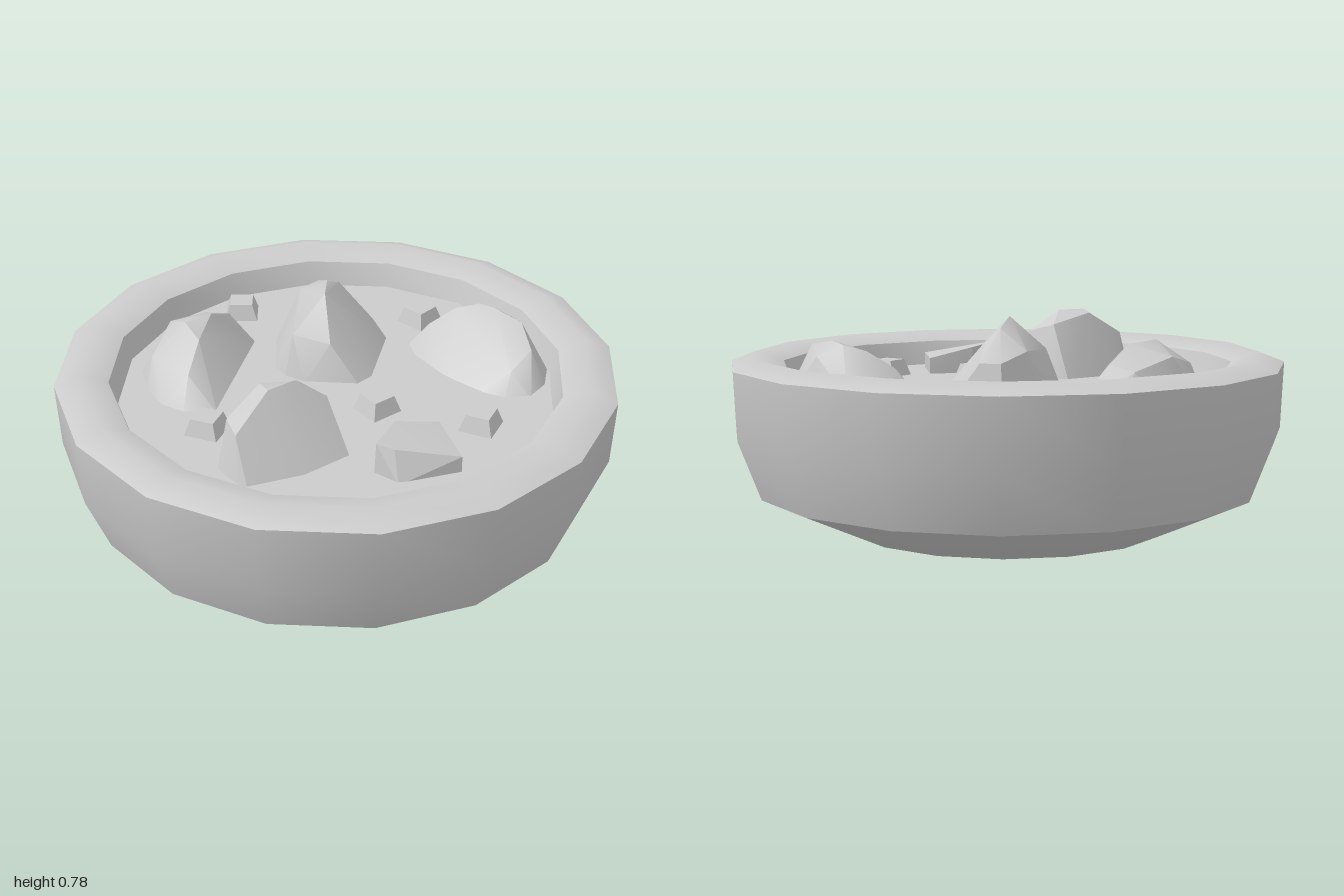
import * as THREE from 'three';
import { toCreasedNormals } from 'three/addons/utils/BufferGeometryUtils.js';
import { ConvexGeometry } from 'three/addons/geometries/ConvexGeometry.js';

const SIDES = 16;
const SOUP_Y = 0.51;
const material = new THREE.MeshStandardMaterial({ color: 0xcccccc });

function addMesh(group, name, geometry) {
  const mesh = new THREE.Mesh(geometry, material);
  mesh.name = name;
  group.add(mesh);
  return mesh;
}

// Chunk of food: [x, z] outline at the soup surface, [x, y, z] points on its top
function chunk(outline, top, crease = 0.5) {
  const points = [
    ...outline.map(([x, z]) => new THREE.Vector3(x, SOUP_Y - 0.01, z)),
    ...top.map((p) => new THREE.Vector3(...p)),
  ];
  return toCreasedNormals(new ConvexGeometry(points), crease);
}

export function createModel() {
  const group = new THREE.Group();
  group.name = 'bowlOfStew';

  // Bowl: outside from the base up, over the rim and down the inner wall
  const profile = [
    [0, 0], [0.58, 0], [0.91, 0.15], [0.99, 0.36], [1, 0.6],
    [0.91, 0.635], [0.81, 0.6], [0.78, SOUP_Y - 0.01],
  ].map(([r, y]) => new THREE.Vector2(r, y));
  addMesh(group, 'bowl', toCreasedNormals(new THREE.LatheGeometry(profile, SIDES), 0.74));

  // Soup surface
  const soup = addMesh(group, 'soup', new THREE.CircleGeometry(0.783, SIDES));
  soup.rotation.x = -Math.PI / 2;
  soup.position.y = SOUP_Y;

  // Rounded half slice at the back
  addMesh(group, 'backChunk', chunk(
    [[-0.47, -0.42], [-0.43, -0.53], [-0.34, -0.64], [-0.17, -0.69], [-0.05, -0.68],
      [0.05, -0.6], [0.09, -0.5], [0.08, -0.44], [-0.38, -0.24], [-0.46, -0.33]],
    [[-0.38, 0.61, -0.37], [-0.26, 0.68, -0.42], [-0.1, 0.69, -0.5], [0.02, 0.63, -0.52],
      [-0.22, 0.7, -0.52], [-0.36, 0.61, -0.56], [-0.18, 0.65, -0.63], [0, 0.61, -0.62]],
    0.6));

  // Thick slab right of the middle, leaning back
  addMesh(group, 'middleChunk', chunk(
    [[-0.05, -0.2], [-0.02, -0.27], [0.13, -0.39], [0.26, -0.43], [0.42, -0.42],
      [0.51, -0.25], [0.49, -0.19], [0.4, -0.06], [0.14, 0.06], [0.07, 0.05], [-0.04, -0.12]],
    [[0.04, 0.65, -0.06], [0.17, 0.71, -0.13], [0.34, 0.71, -0.25], [0.44, 0.65, -0.33],
      [0.14, 0.78, -0.16], [0.27, 0.75, -0.25], [0, 0.66, -0.2], [0.26, 0.68, -0.37],
      [0.4, 0.65, -0.39]]));

  // Arched slice on the right-hand side of the bowl
  addMesh(group, 'sideChunk', chunk(
    [[-0.68, 0.11], [-0.65, -0.01], [-0.56, -0.06], [-0.3, -0.02], [-0.23, 0.09],
      [-0.24, 0.14], [-0.32, 0.3], [-0.5, 0.25], [-0.67, 0.14]],
    [[-0.63, 0.66, 0.06], [-0.47, 0.76, 0.07], [-0.37, 0.76, 0.1], [-0.28, 0.68, 0.17],
      [-0.58, 0.67, -0.02], [-0.44, 0.75, 0.01], [-0.3, 0.71, 0.06]]));

  // Rounded wedge at the front, rising toward the rim
  addMesh(group, 'frontChunk', chunk(
    [[0.28, 0.43], [0.29, 0.27], [0.35, 0.09], [0.41, 0.02], [0.52, 0.04], [0.62, 0.14],
      [0.67, 0.3], [0.65, 0.43], [0.57, 0.54], [0.47, 0.59], [0.37, 0.59], [0.3, 0.52]],
    [[0.56, 0.69, 0.3], [0.52, 0.66, 0.16], [0.57, 0.68, 0.23], [0.56, 0.67, 0.42],
      [0.45, 0.6, 0.09], [0.47, 0.63, 0.52], [0.63, 0.64, 0.3], [0.37, 0.58, 0.5]],
    0.6));

  // Small angular piece at the front
  addMesh(group, 'smallChunk', chunk(
    [[-0.35, 0.42], [-0.18, 0.39], [-0.04, 0.47], [-0.17, 0.65], [-0.35, 0.52]],
    [[-0.34, 0.62, 0.42], [-0.18, 0.61, 0.38], [-0.04, 0.57, 0.47], [-0.17, 0.57, 0.65],
      [-0.32, 0.61, 0.48]], 0.1));

  // Diced pieces: x, z, turn
  const dice = [
    [0.21, -0.62, 0.65], [-0.49, -0.19, 0.27], [0.58, -0.04, -0.12],
    [-0.03, 0.2, -0.26], [0.1, 0.55, 0.22],
  ];
  const diceGeometry = toCreasedNormals(
    new THREE.CylinderGeometry(0.06, 0.09, 0.07, 4).rotateY(Math.PI / 4), 0.3);
  for (const [x, z, turn] of dice) {
    const piece = addMesh(group, 'dicedPiece', diceGeometry);
    piece.position.set(x, SOUP_Y + 0.025, z);
    piece.rotation.y = turn;
  }

  return group;
}
